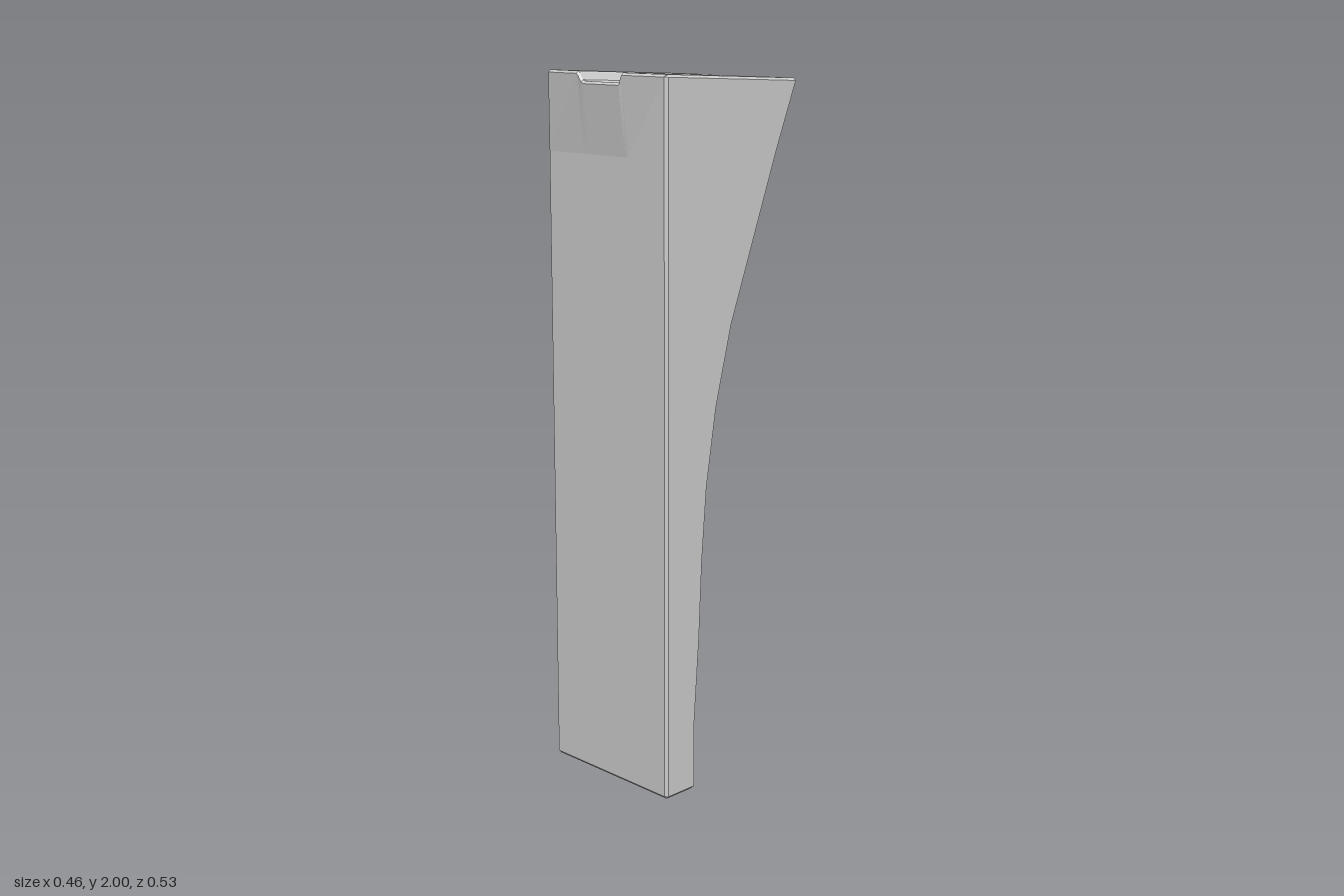
import * as THREE from 'three';

// Columns across the width: [x, groove amount 0..1]
const COLUMNS = [
  [-0.232, 0], [-0.224, 0], [-0.087, 0], [-0.081, 0.2], [-0.075, 0.55], [-0.069, 0.88], [-0.06, 1],
  [0.074, 1], [0.079, 0.85], [0.082, 0.35], [0.087, 0], [0.224, 0], [0.232, 0],
];
// Curved back edge, from foot to head: [y, z]
const BACK = [
  [0.008, 0.125], [0.02, 0.125], [0.035, 0.125], [0.2, 0.125], [0.45, 0.107], [0.67, 0.097],
  [0.88, 0.08], [1.1, 0.044], [1.32, -0.013], [1.55, -0.1], [1.78, -0.187],
];
const FRONT_Z = 0.241;
const BEVEL = 0.007;
const GROOVE_DEPTH = 0.044;
const NOTCH_DEPTH = 0.026;

// Sloping top surface with the shallow channel sunk into it
const topY = (z, groove) => 2 - 0.025 * (0.262 - z) / 0.526 - NOTCH_DEPTH * groove;

// One closed loop: front from -x to +x, then back from +x to -x
function makeRing(frontZ, backZ, heightAt, grooved, inset = 0) {
  const front = [], back = [];
  COLUMNS.forEach(([x, g], i) => {
    const end = i === 0 || i === COLUMNS.length - 1;
    const groove = grooved ? g : 0;
    const cut = inset + (end ? BEVEL : 0);
    const px = end ? x - Math.sign(x) * inset : x;
    const zf = frontZ(x) - cut;
    const zb = backZ + GROOVE_DEPTH * groove + cut;
    front.push(new THREE.Vector3(px, heightAt(zf, groove), zf));
    back.unshift(new THREE.Vector3(px, heightAt(zb, groove), zb));
  });
  return [...front, ...back];
}

function makeBody() {
  const flat = () => FRONT_Z;
  // The head flares forward, most in the middle
  const flared = (x) => 0.262 - 0.021 * Math.max(0, Math.abs(x) - 0.087) / 0.145;

  const rings = [makeRing(flat, 0.125, () => 0, false, BEVEL)];
  BACK.forEach(([y, z]) => rings.push(makeRing(flat, z, () => y, y > 0.03)));
  rings.push(makeRing(flared, -0.264, (z, g) => topY(z, g) - BEVEL, true));
  rings.push(makeRing(flared, -0.264, topY, true, BEVEL));

  const positions = [];
  const quad = (a, b, c, d) => {
    for (const p of [a, b, c, a, c, d]) positions.push(p.x, p.y, p.z);
  };
  const n = rings[0].length;

  // Walls
  for (let r = 0; r < rings.length - 1; r++) {
    for (let i = 0; i < n; i++) {
      const j = (i + 1) % n;
      quad(rings[r][i], rings[r][j], rings[r + 1][j], rings[r + 1][i]);
    }
  }
  // Foot and top surface
  const foot = rings[0], head = rings[rings.length - 1];
  for (let i = 0; i < COLUMNS.length - 1; i++) {
    const k = n - 1 - i;
    quad(head[i], head[i + 1], head[k - 1], head[k]);
    quad(foot[k], foot[k - 1], foot[i + 1], foot[i]);
  }

  const geometry = new THREE.BufferGeometry();
  geometry.setAttribute('position', new THREE.Float32BufferAttribute(positions, 3));
  geometry.computeVertexNormals();
  return geometry;
}

export function createModel() {
  const group = new THREE.Group();
  group.name = 'groovedButtress';
  const material = new THREE.MeshStandardMaterial({ color: 0xcccccc, flatShading: true });
  const body = new THREE.Mesh(makeBody(), material);
  body.name = 'curvedPillar';
  group.add(body);
  return group;
}
